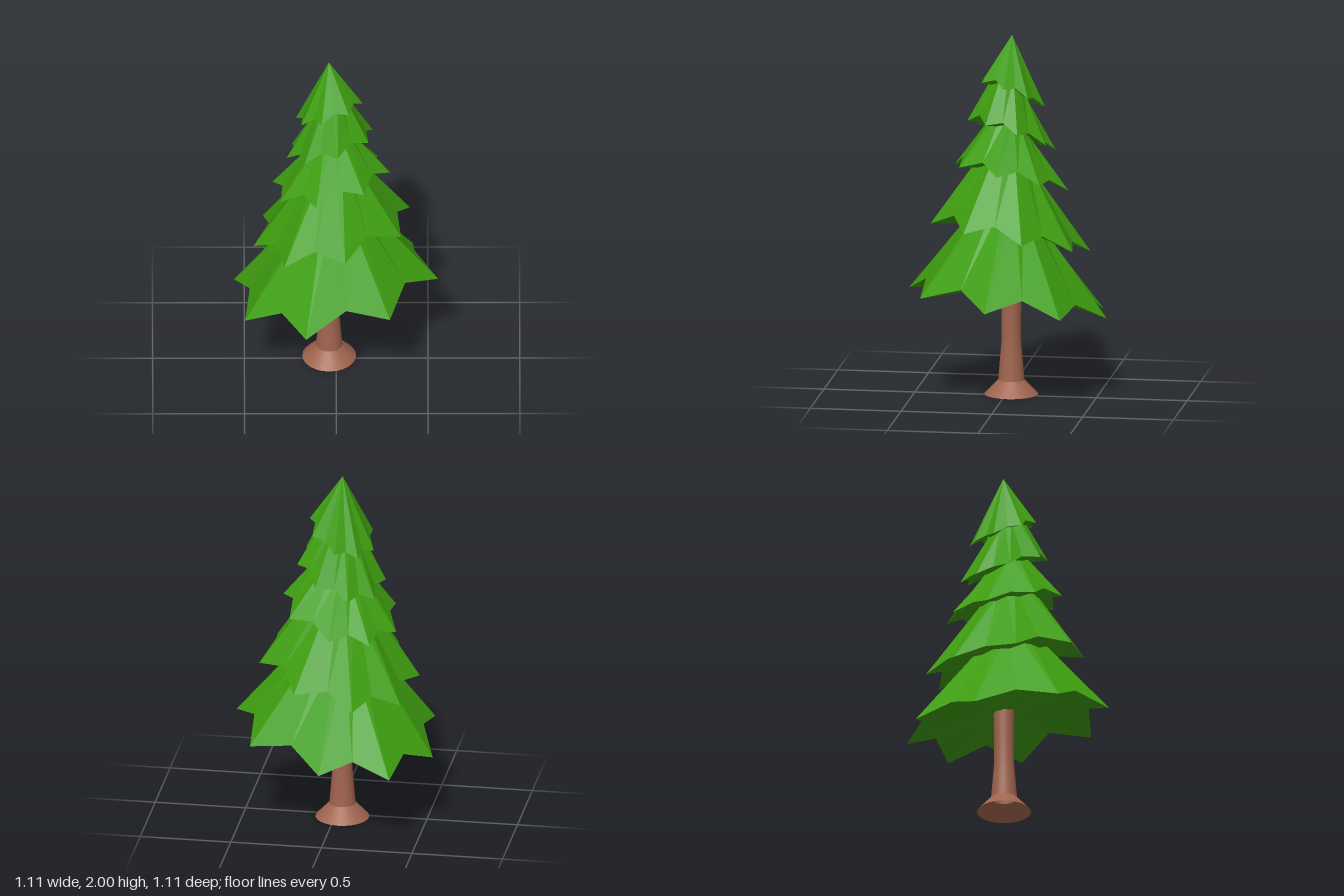
import * as THREE from 'three';

const CX = -0.04, CZ = -0.03; // trunk axis

// 16 directions around the tree (degrees) with a slight irregular reach for each
const ANGLES = [6, 28, 54, 78.5, 102, 122, 144, 167, 193, 214, 234, 254, 275, 300, 324, 345];
const REACH = [0.06, 0.02, 0, 0.02, 0.06, 0.05, 0, -0.04, -0.06, -0.01, 0, -0.015, -0.06, -0.04, 0, 0.05];

// One skirt of branches: a star-shaped rim, lopsided in height, rising to a small top ring
function makeTier({ tip, y, topR, topY, tilt, odd, uneven }) {
  const rim = [], ring = [];
  ANGLES.forEach((deg, i) => {
    const a = THREE.MathUtils.degToRad(deg);
    const isTip = (i % 2 === 1) === odd;
    const r = tip * (isTip ? 1 : 0.815) * (1 + REACH[i] * uneven);
    const rise = tilt * Math.cos(a - Math.PI / 4);
    const lift = isTip ? 0 : tip * 0.135;
    rim.push([CX + r * Math.cos(a), y + lift + rise, CZ + r * Math.sin(a)]);
    const topRise = topR > 0 ? rise : 0;
    ring.push([CX + topR * Math.cos(a), topY + topRise, CZ + topR * Math.sin(a)]);
  });
  const centre = [CX, y + tip * 0.18, CZ];
  const pos = [];
  for (let i = 0; i < 16; i++) {
    const j = (i + 1) % 16;
    pos.push(...rim[i], ...ring[i], ...rim[j]);                     // slope
    if (topR > 0) pos.push(...ring[i], ...ring[j], ...rim[j]);
    pos.push(...rim[i], ...rim[j], ...centre);                      // underside
  }
  const geo = new THREE.BufferGeometry();
  geo.setAttribute('position', new THREE.Float32BufferAttribute(pos, 3));
  geo.computeVertexNormals();
  return geo;
}

function lathe(points) {
  return new THREE.LatheGeometry(points.map(([r, y]) => new THREE.Vector2(r, y)), 24);
}

export function createModel() {
  const tree = new THREE.Group();
  tree.name = 'pineTree';

  const needles = new THREE.MeshStandardMaterial({ color: 0x3f9f10, flatShading: true });
  needles.name = 'needleGreen';
  const bark = new THREE.MeshStandardMaterial({ color: 0xa0644e, side: THREE.DoubleSide });
  bark.name = 'barkBrown';

  // Trunk and its flared foot
  const trunk = new THREE.Mesh(lathe([[0.072, 0.08], [0.062, 0.2], [0.054, 0.3], [0.054, 0.42], [0.058, 0.68]]), bark);
  trunk.name = 'trunk';
  const foot = new THREE.Mesh(lathe([[0.147, 0], [0.072, 0.08]]), bark);
  foot.name = 'trunkFoot';
  for (const part of [trunk, foot]) {
    part.position.set(CX + 0.002, 0, CZ + 0.004);
    tree.add(part);
  }

  // Branch tiers from the bottom up, alternate ones turned half a point
  const tiers = [
    { tip: 0.565, y: 0.5, topR: 0.13, topY: 1.05, tilt: 0.086, odd: false, uneven: 1 },
    { tip: 0.437, y: 0.87, topR: 0.12, topY: 1.32, tilt: 0.1, odd: true, uneven: 0.9 },
    { tip: 0.325, y: 1.205, topR: 0.1, topY: 1.49, tilt: 0.088, odd: false, uneven: 0.5 },
    { tip: 0.242, y: 1.44, topR: 0.08, topY: 1.73, tilt: 0.1, odd: true, uneven: 0.6 },
    { tip: 0.185, y: 1.665, topR: 0, topY: 2, tilt: 0.087, odd: false, uneven: 0.1 },
  ];
  tiers.forEach((t, i) => {
    const mesh = new THREE.Mesh(makeTier(t), needles);
    mesh.name = `branchTier${i + 1}`;
    tree.add(mesh);
  });

  return tree;
}
